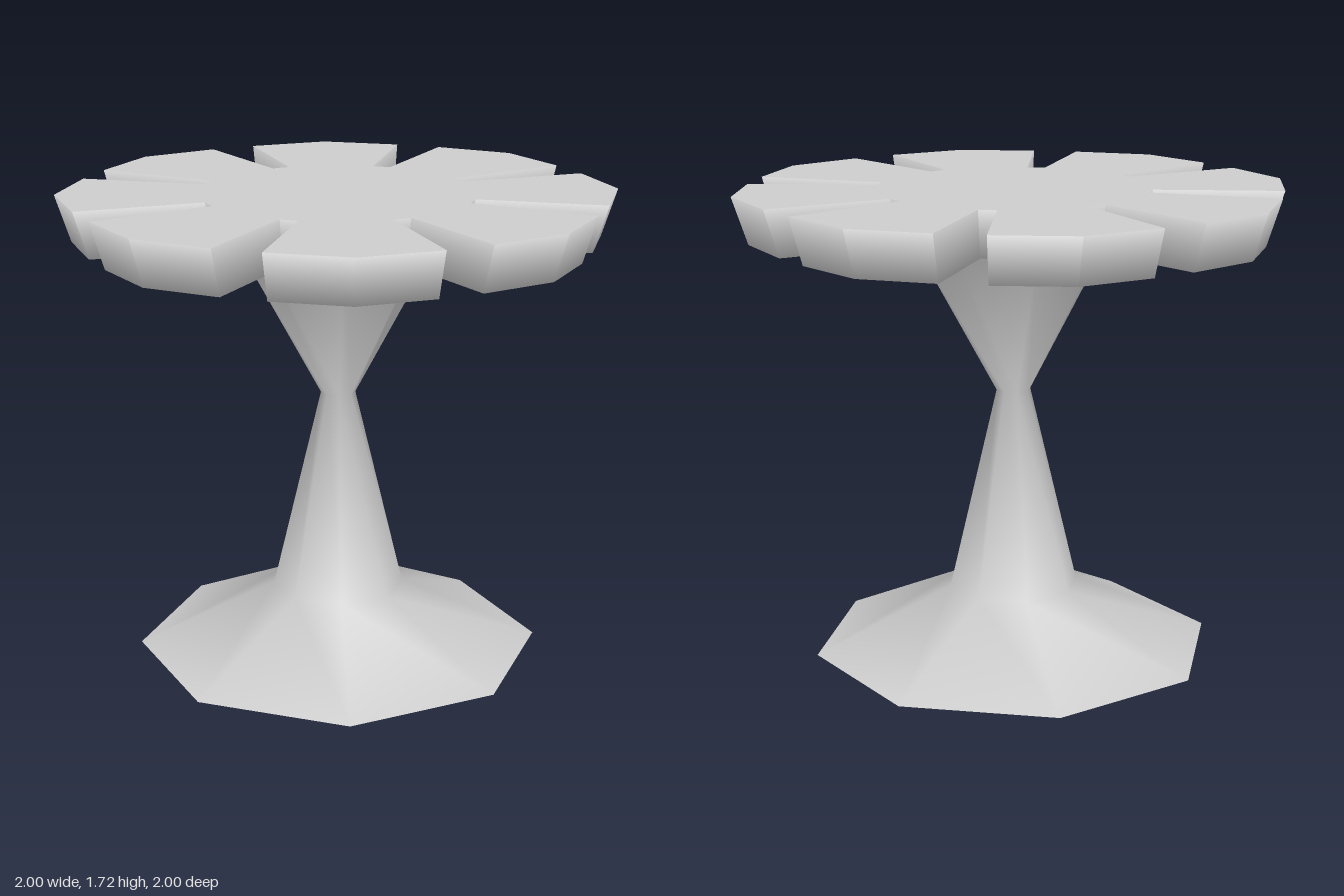
import * as THREE from 'three';

const PETALS = 8, TOP_Y = 1.72, BOTTOM_Y = 1.55, TAPER = 0.945;

// Petalled outline: for each petal a slot corner, outer corner, tip, outer corner, slot corner
function petalOutline(scale) {
  const profile = [[-18.7, 0.495], [-17.4, 0.96], [0, 1], [17.4, 0.96], [18.7, 0.495]];
  const points = [];
  for (let i = 0; i < PETALS; i++) {
    for (const [deg, r] of profile) {
      const a = THREE.MathUtils.degToRad(deg + i * 360 / PETALS);
      points.push(new THREE.Vector2(Math.cos(a) * r * scale, Math.sin(a) * r * scale));
    }
  }
  return points;
}

// Tapered wall between the two outlines, with softly rolled normals
function rimGeometry(top, bottom) {
  const pos = [], nor = [];
  const roll = 0.8;
  for (let i = 0; i < top.length; i++) {
    const j = (i + 1) % top.length;
    const d = top[j].clone().sub(top[i]).normalize();
    const put = (p, y, ny) => {
      const n = new THREE.Vector3(d.y, ny, d.x * -1 * -1).normalize();
      pos.push(p.x, y, -p.y);
      nor.push(n.x, n.y, n.z);
    };
    put(bottom[i], BOTTOM_Y, -roll);
    put(bottom[j], BOTTOM_Y, -roll);
    put(top[j], TOP_Y, roll);
    put(bottom[i], BOTTOM_Y, -roll);
    put(top[j], TOP_Y, roll);
    put(top[i], TOP_Y, roll);
  }
  const g = new THREE.BufferGeometry();
  g.setAttribute('position', new THREE.Float32BufferAttribute(pos, 3));
  g.setAttribute('normal', new THREE.Float32BufferAttribute(nor, 3));
  return g;
}

export function createModel() {
  const model = new THREE.Group();
  model.name = 'petalTable';
  const grey = new THREE.MeshStandardMaterial({ color: 0xcccccc, side: THREE.DoubleSide });
  grey.name = 'light grey';

  const add = (parent, name, geometry) => {
    const mesh = new THREE.Mesh(geometry, grey);
    mesh.name = name;
    parent.add(mesh);
  };

  // Eight-sided pedestal, open underneath: flared foot, stem, narrow waist and cup
  const profile = [[0.745, 0], [0.24, 0.235], [0.063, 0.98], [0.37, BOTTOM_Y]]
    .map(([r, y]) => new THREE.Vector2(r, y));
  add(model, 'pedestal', new THREE.LatheGeometry(profile, 8));

  // Table top with eight petals, narrower at the underside
  const tableTop = new THREE.Group();
  tableTop.name = 'tableTop';
  const top = petalOutline(1), bottom = petalOutline(TAPER);
  add(tableTop, 'topFace',
    new THREE.ShapeGeometry(new THREE.Shape(top)).rotateX(-Math.PI / 2).translate(0, TOP_Y, 0));
  add(tableTop, 'underside',
    new THREE.ShapeGeometry(new THREE.Shape(bottom)).rotateX(Math.PI / 2).translate(0, BOTTOM_Y, 0));
  add(tableTop, 'rim', rimGeometry(top, bottom));
  model.add(tableTop);

  return model;
}
